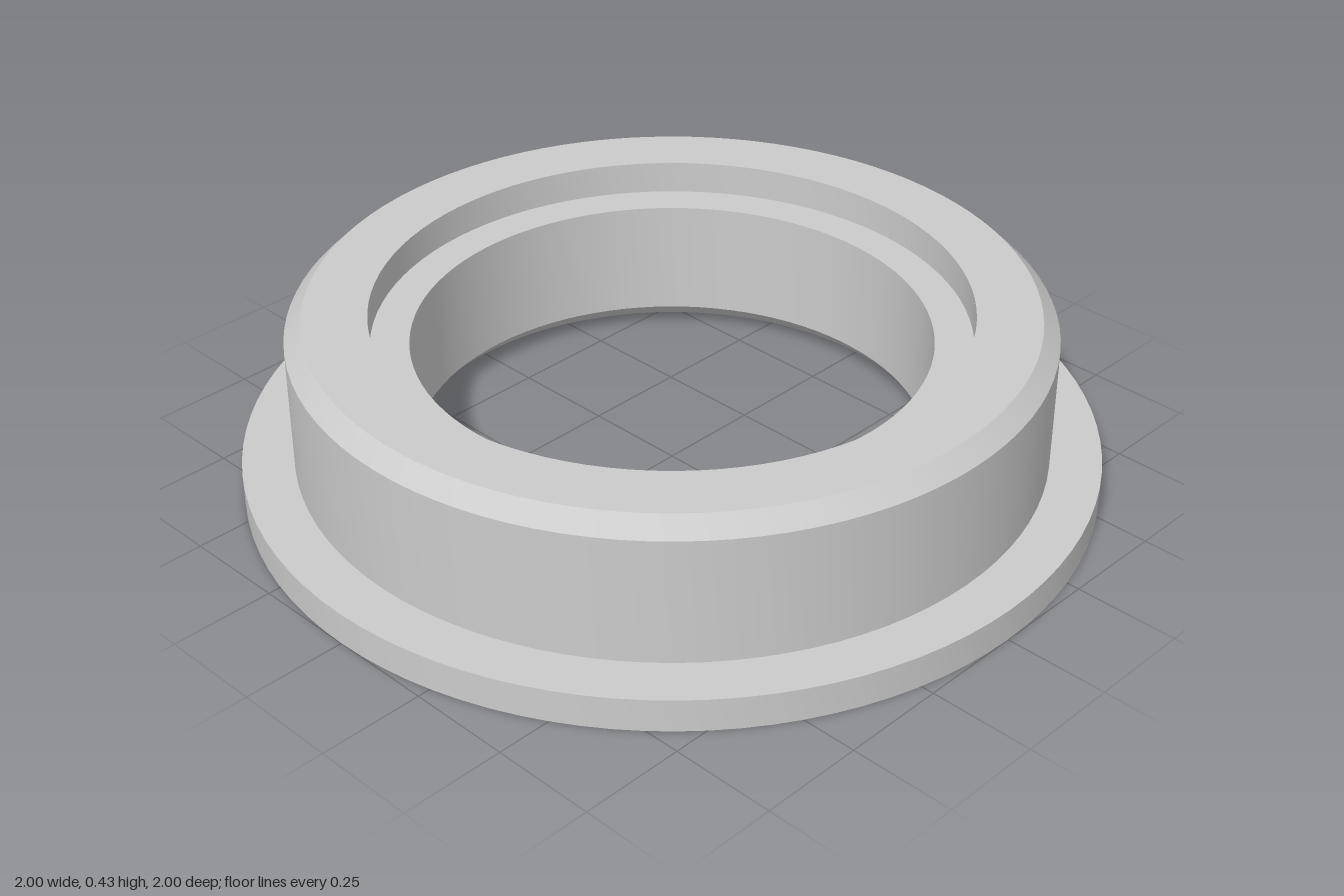
import * as THREE from 'three';
import { toCreasedNormals } from 'three/addons/utils/BufferGeometryUtils.js';

const SEGMENTS = 96;
const material = new THREE.MeshStandardMaterial({ color: 0xcccccc });

// Revolves a profile of [radius, height] points, keeping its corners sharp
function ring(name, profile) {
  const points = profile.map(([r, y]) => new THREE.Vector2(r, y));
  const geometry = toCreasedNormals(new THREE.LatheGeometry(points, SEGMENTS), Math.PI / 9);
  const mesh = new THREE.Mesh(geometry, material);
  mesh.name = name;
  return mesh;
}

export function createModel() {
  const group = new THREE.Group();
  group.name = 'flangedRing';

  // Outer ring: flange, body and chamfered top edge, down to the recessed faces
  group.add(ring('outerRing', [
    [0.70, 0.02], [0.70, 0], [1, 0], [1, 0.08], [0.88, 0.08],
    [0.88, 0.385], [0.84, 0.425], [0.69, 0.425], [0.69, 0.345],
  ]));

  // Inner ring: recessed top face, bore, lower chamfer and recessed bottom face
  group.add(ring('innerRing', [
    [0.69, 0.345], [0.60, 0.345], [0.60, 0.06], [0.64, 0.02], [0.70, 0.02],
  ]));

  return group;
}
